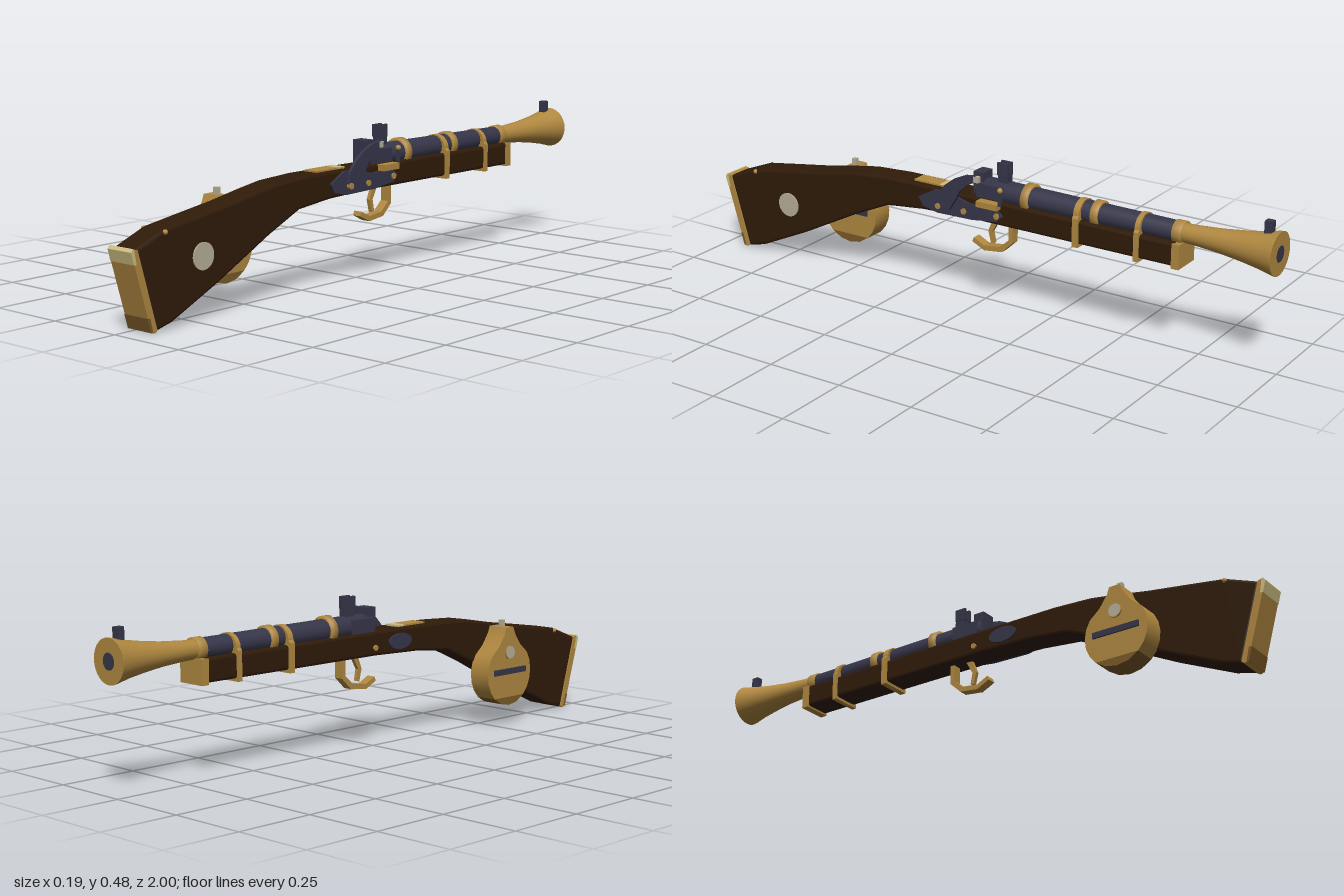
import * as THREE from 'three';
import { toCreasedNormals } from 'three/addons/utils/BufferGeometryUtils.js';

const CX = 0.025; // centre line of the stock and barrel
const BY = 0.38; // height of the bore

export function createModel() {
  const root = new THREE.Group();
  const mat = (name, color) => {
    const m = new THREE.MeshStandardMaterial({ color });
    m.name = name;
    return m;
  };
  const wood = mat('dark wood', 0x301b09);
  const brass = mat('brass', 0xb08840);
  const darkBrass = mat('tarnished brass', 0x7a5a28);
  const paleBrass = mat('worn brass', 0xcfc084);
  const steel = mat('blued steel', 0x36364a);
  const silver = mat('silver', 0xb8b09a);

  const add = (name, geo, material) => {
    const mesh = new THREE.Mesh(geo, material);
    mesh.name = name;
    root.add(mesh);
    return mesh;
  };
  const box = (name, m, x0, x1, y0, y1, z0, z1) =>
    add(name, new THREE.BoxGeometry(x1 - x0, y1 - y0, z1 - z0)
      .translate((x0 + x1) / 2, (y0 + y1) / 2, (z0 + z1) / 2), m);
  // Side outline given as [z, y], extruded across x
  const side = (name, m, pts, x0, x1, bevel = 0) => {
    const shape = new THREE.Shape(pts.map(([z, y]) => new THREE.Vector2(-z, y)));
    const geo = new THREE.ExtrudeGeometry(shape, {
      depth: x1 - x0 - 2 * bevel, bevelEnabled: bevel > 0, bevelThickness: bevel,
      bevelSize: bevel, bevelOffset: -bevel, bevelSegments: 2,
    });
    return add(name, geo.rotateY(Math.PI / 2).translate(x0 + bevel, 0, 0), m);
  };
  // Disc or pin with its axis across x
  const disc = (name, m, x0, x1, y, z, r, n = 20) =>
    add(name, new THREE.CylinderGeometry(r, r, x1 - x0, n).rotateZ(Math.PI / 2)
      .translate((x0 + x1) / 2, y, z), m);
  // Turned part around the bore, given as [radius, z] running toward the muzzle
  const turned = (name, m, pts, n = 28) =>
    add(name, new THREE.LatheGeometry(pts.map(([r, z]) => new THREE.Vector2(r, -z)), n)
      .rotateX(-Math.PI / 2).translate(CX, BY, 0), m);

  // Stock and butt
  side('stock', wood, [
    [0.978, 0.24], [0.87, 0.282], [0.74, 0.302], [0.62, 0.32], [0.5, 0.342], [0.42, 0.355],
    [0.29, 0.362], [0.1, 0.362], [-0.69, 0.358], [-0.69, 0.286], [0.0, 0.286], [0.19, 0.28],
    [0.33, 0.265], [0.46, 0.207], [0.67, 0.1], [0.85, 0.018], [0.91, 0.003],
  ], -0.02, 0.07, 0.008);
  side('buttPlate', brass, [
    [0.998, 0.235], [0.99, 0.244], [0.975, 0.24], [0.908, 0.006], [0.918, 0], [0.93, 0.003],
  ], -0.022, 0.072);
  // Worn heel and tarnished toe, laid on the rear face of the butt plate
  side('buttHeel', paleBrass, [
    [0.9995, 0.236], [0.992, 0.2455], [0.988, 0.243], [0.98, 0.2], [0.9895, 0.2],
  ], -0.0222, 0.0722);
  side('buttToe', darkBrass, [
    [0.9438, 0.045], [0.934, 0.045], [0.924, 0.004], [0.9315, 0.003],
  ], -0.0222, 0.0722);
  box('topPlate', brass, 0, 0.05, 0.35, 0.367, 0.11, 0.235);
  box('topPlateWear', paleBrass, 0, 0.05, 0.36, 0.368, 0.11, 0.14);
  disc('stockMedallion', silver, 0.066, 0.074, 0.187, 0.73, 0.04, 24);
  for (const x of [-0.018, 0.068]) {
    add('stockStud', new THREE.SphereGeometry(0.008, 10, 8).translate(x, 0.274, 0.87), brass);
  }

  // Barrel, flared muzzle and bore
  turned('barrel', steel, [[0, 0], [0.037, 0], [0.036, -0.2], [0.031, -0.7], [0, -0.7]], 16);
  turned('muzzleFlare', brass, [
    [0.028, -0.68], [0.03, -0.74], [0.036, -0.82], [0.045, -0.89], [0.055, -0.95], [0.065, -0.992],
    [0.066, -1],
  ]);
  turned('muzzleFace', brass, [[0.066, -1], [0, -1]]);
  add('bore', new THREE.CircleGeometry(0.025, 20).rotateY(Math.PI)
    .translate(CX, BY, -1.001), steel);
  box('frontSight', steel, 0.014, 0.036, 0.435, 0.473, -0.977, -0.953);

  // Rings on the barrel only
  for (const [z, r] of [[-0.18, 0.045], [-0.42, 0.041]]) {
    turned('barrelRing', brass, [
      [0.03, z + 0.012], [r, z + 0.012], [r, z - 0.012], [0.03, z - 0.012],
    ]);
  }
  // Bands around both barrel and stock, and the fore-end cap
  const band = (z, depth, topR) => {
    const s = new THREE.Shape();
    s.moveTo(CX - 0.051, 0.277);
    s.lineTo(CX + 0.051, 0.277);
    s.lineTo(CX + 0.051, 0.367);
    s.absellipse(CX, 0.375, 0.045, topR, 0, Math.PI, false);
    s.lineTo(CX - 0.051, 0.367);
    add('stockBand', new THREE.ExtrudeGeometry(s, { depth, bevelEnabled: false, curveSegments: 12 })
      .translate(0, 0, z - depth / 2), brass);
  };
  band(-0.365, 0.02, 0.042);
  band(-0.57, 0.016, 0.04);
  box('foreEndCap', brass, -0.023, 0.073, 0.281, 0.357, -0.71, -0.685);
  turned('muzzleCollar', brass, [
    [0.025, -0.675], [0.035, -0.675], [0.035, -0.705], [0.025, -0.705],
  ]);

  // Breech and rear sight
  box('breechPlug', steel, 0, 0.05, 0.36, 0.436, -0.025, 0.012);
  box('breechBody', steel, -0.012, 0.062, 0.35, 0.405, -0.1, -0.005);
  box('rearSightBase', steel, 0.011, 0.039, 0.405, 0.446, -0.105, -0.07);
  for (const x of [0.009, 0.032]) {
    box('rearSightEar', steel, x, x + 0.009, 0.437, 0.476, -0.105, -0.067);
  }
  box('rearSightLeaf', steel, 0.016, 0.034, 0.44, 0.47, -0.09, -0.08);

  // Lock on the left side
  side('lockPlate', steel, [
    [0.2, 0.325], [0.185, 0.298], [0.13, 0.285], [0, 0.288], [-0.09, 0.3], [-0.11, 0.32],
    [-0.08, 0.345], [0.01, 0.338], [0.08, 0.358], [0.14, 0.358],
  ], 0.065, 0.077);
  side('hammer', steel, [
    [0.13, 0.32], [0.122, 0.355], [0.095, 0.385], [0.06, 0.412], [0.02, 0.43], [-0.018, 0.437],
    [-0.02, 0.416], [0.01, 0.402], [0.04, 0.375], [0.055, 0.345], [0.08, 0.305], [0.115, 0.302],
  ], 0.075, 0.087);
  box('flint', silver, 0.074, 0.088, 0.415, 0.434, -0.03, -0.012);
  box('pan', brass, 0.062, 0.094, 0.341, 0.36, -0.1, -0.025);
  box('frizzenStem', steel, 0.079, 0.086, 0.355, 0.4, -0.11, -0.1);
  add('frizzenKnob', new THREE.SphereGeometry(0.009, 10, 8).translate(0.083, 0.405, -0.106), brass);
  for (const [z, y, x] of [[0.12, 0.312, 0.09], [-0.09, 0.318, 0.081], [0.03, 0.31, 0.081]]) {
    disc('lockScrew', brass, 0.07, x, y, z, 0.01, 10);
  }

  // Side plate and screw on the right side
  const plate = disc('sidePlate', steel, -0.026, -0.015, 0, 0, 0.05, 20);
  plate.scale.set(1, 0.5, 1);
  plate.position.set(0, 0.322, 0.1);
  disc('sideScrew', brass, -0.026, -0.015, 0.312, -0.01, 0.009, 10);

  // Trigger and guard
  side('triggerGuard', brass, [
    [-0.124, 0.29], [-0.124, 0.225], [-0.085, 0.188], [-0.02, 0.18], [0.024, 0.201], [0.018, 0.215],
    [-0.02, 0.196], [-0.077, 0.203], [-0.109, 0.232], [-0.109, 0.29],
  ], 0.01, 0.04);
  side('trigger', brass, [
    [-0.07, 0.29], [-0.045, 0.245], [-0.052, 0.208], [-0.04, 0.205], [-0.03, 0.245], [-0.048, 0.29],
  ], 0.019, 0.031);

  // Teardrop powder flask on the right side, with a tarnished bottom
  const arc = (from, to, n) => Array.from({ length: n + 1 }, (_, i) => {
    const a = THREE.MathUtils.degToRad(from + ((to - from) * i) / n);
    return [0.548 + 0.107 * Math.cos(a), 0.174 + 0.107 * Math.sin(a)];
  });
  const flask = side('powderFlask', brass, [
    [0.53, 0.325], [0.522, 0.303], [0.495, 0.265], ...arc(145, 228, 5),
    ...arc(312, 395, 5), [0.601, 0.265], [0.574, 0.303], [0.566, 0.325],
  ], -0.092, -0.018);
  const flaskBottom = side('flaskBottom', darkBrass, arc(228, 312, 4), -0.092, -0.018);
  for (const part of [flask, flaskBottom]) part.geometry = toCreasedNormals(part.geometry, 0.6);
  box('flaskSpout', silver, -0.063, -0.048, 0.322, 0.347, 0.541, 0.556);
  disc('flaskMedallionRim', brass, -0.096, -0.09, 0.243, 0.548, 0.023, 16);
  disc('flaskMedallion', silver, -0.097, -0.09, 0.243, 0.548, 0.021, 16);
  box('flaskBar', steel, -0.097, -0.09, 0.171, 0.19, 0.47, 0.626);
  box('flaskClip', steel, -0.02, -0.012, 0.171, 0.19, 0.475, 0.62);

  return root;
}
